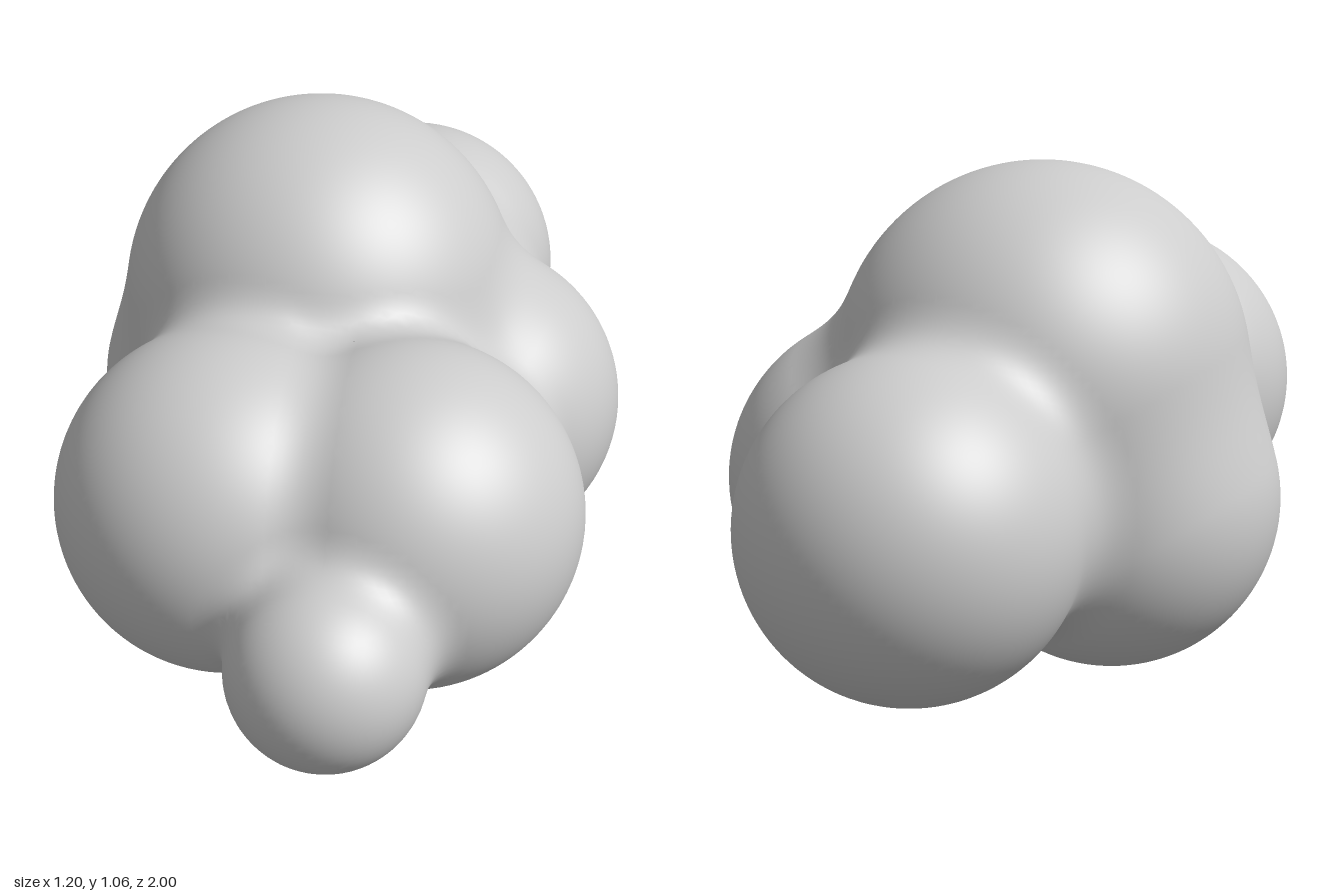
import * as THREE from 'three';

// Puffs of the cloud: centre x, y, z, radius, blend width to the others
const PUFFS = [
  [-0.20, 0.455, 0.40, 0.365, 0],
  [0.175, 0.455, 0.40, 0.365, 0.06],
  [-0.245, 0.365, -0.20, 0.36, 0.1],
  [0.24, 0.365, -0.17, 0.36, 0.1],
  [-0.09, 0.63, -0.17, 0.44, 0.09],
  [0.07, 0.435, -0.655, 0.345, 0.1],
  [0.06, 0.365, 0.80, 0.20, 0.08],
];

// Signed distance to the smoothly merged puffs
function distance(x, y, z) {
  let d = Infinity;
  for (const [cx, cy, cz, r, k] of PUFFS) {
    const e = Math.hypot(x - cx, y - cy, z - cz) - r;
    const h = k > 0 ? Math.max(k - Math.abs(d - e), 0) : 0;
    d = Math.min(d, e) - (h > 0 ? (h * h) / (4 * k) : 0);
  }
  return d;
}

function gradient(p) {
  const e = 0.002;
  return new THREE.Vector3(
    distance(p.x + e, p.y, p.z) - distance(p.x - e, p.y, p.z),
    distance(p.x, p.y + e, p.z) - distance(p.x, p.y - e, p.z),
    distance(p.x, p.y, p.z + e) - distance(p.x, p.y, p.z - e)
  ).normalize();
}

// Skin the distance field: one vertex per crossed cell, one quad per crossed edge
function skinGeometry(step) {
  const min = [-0.7, -0.1, -1.1];
  const n = [1.4, 1.3, 2.2].map((s) => Math.ceil(s / step) + 1);
  const stride = [1, n[0], n[0] * n[1]];
  const field = new Float32Array(n[0] * n[1] * n[2]);
  const eachCell = (from, visit) => {
    for (let k = from; k < n[2] - 1; k++)
      for (let j = from; j < n[1] - 1; j++)
        for (let i = from; i < n[0] - 1; i++) visit(i, j, k, i + j * stride[1] + k * stride[2]);
  };
  for (let k = 0, c = 0; k < n[2]; k++)
    for (let j = 0; j < n[1]; j++)
      for (let i = 0; i < n[0]; i++, c++)
        field[c] = distance(min[0] + i * step, min[1] + j * step, min[2] + k * step);

  const positions = [], normals = [], indices = [];
  const vertexOf = new Int32Array(field.length).fill(-1);
  eachCell(0, (i, j, k, c) => {
    let inside = 0;
    for (let b = 0; b < 8; b++)
      if (field[c + (b & 1) + ((b >> 1) & 1) * stride[1] + (b >> 2) * stride[2]] < 0) inside++;
    if (inside === 0 || inside === 8) return;
    const p = new THREE.Vector3(i + 0.5, j + 0.5, k + 0.5).multiplyScalar(step);
    p.add(new THREE.Vector3(...min));
    // Pull the cell centre onto the surface
    for (let s = 0; s < 4; s++) p.addScaledVector(gradient(p), -distance(p.x, p.y, p.z));
    vertexOf[c] = positions.length / 3;
    positions.push(p.x, p.y, p.z);
    normals.push(...gradient(p).toArray());
  });
  eachCell(1, (i, j, k, c) => {
    for (let a = 0; a < 3; a++) {
      const inside = field[c] < 0;
      if (inside === field[c + stride[a]] < 0) continue;
      const u = stride[(a + 1) % 3], v = stride[(a + 2) % 3];
      const q = [c, c - u, c - u - v, c - v].map((cell) => vertexOf[cell]);
      if (!inside) q.reverse();
      indices.push(q[0], q[1], q[2], q[0], q[2], q[3]);
    }
  });

  const geometry = new THREE.BufferGeometry();
  geometry.setAttribute('position', new THREE.Float32BufferAttribute(positions, 3));
  geometry.setAttribute('normal', new THREE.Float32BufferAttribute(normals, 3));
  geometry.setIndex(indices);
  return geometry;
}

export function createModel() {
  const group = new THREE.Group();
  group.name = 'cloud';
  const material = new THREE.MeshStandardMaterial({ color: 0xcccccc });
  material.name = 'light grey';
  const puffs = new THREE.Mesh(skinGeometry(0.02), material);
  puffs.name = 'mergedPuffs';
  group.add(puffs);
  return group;
}
